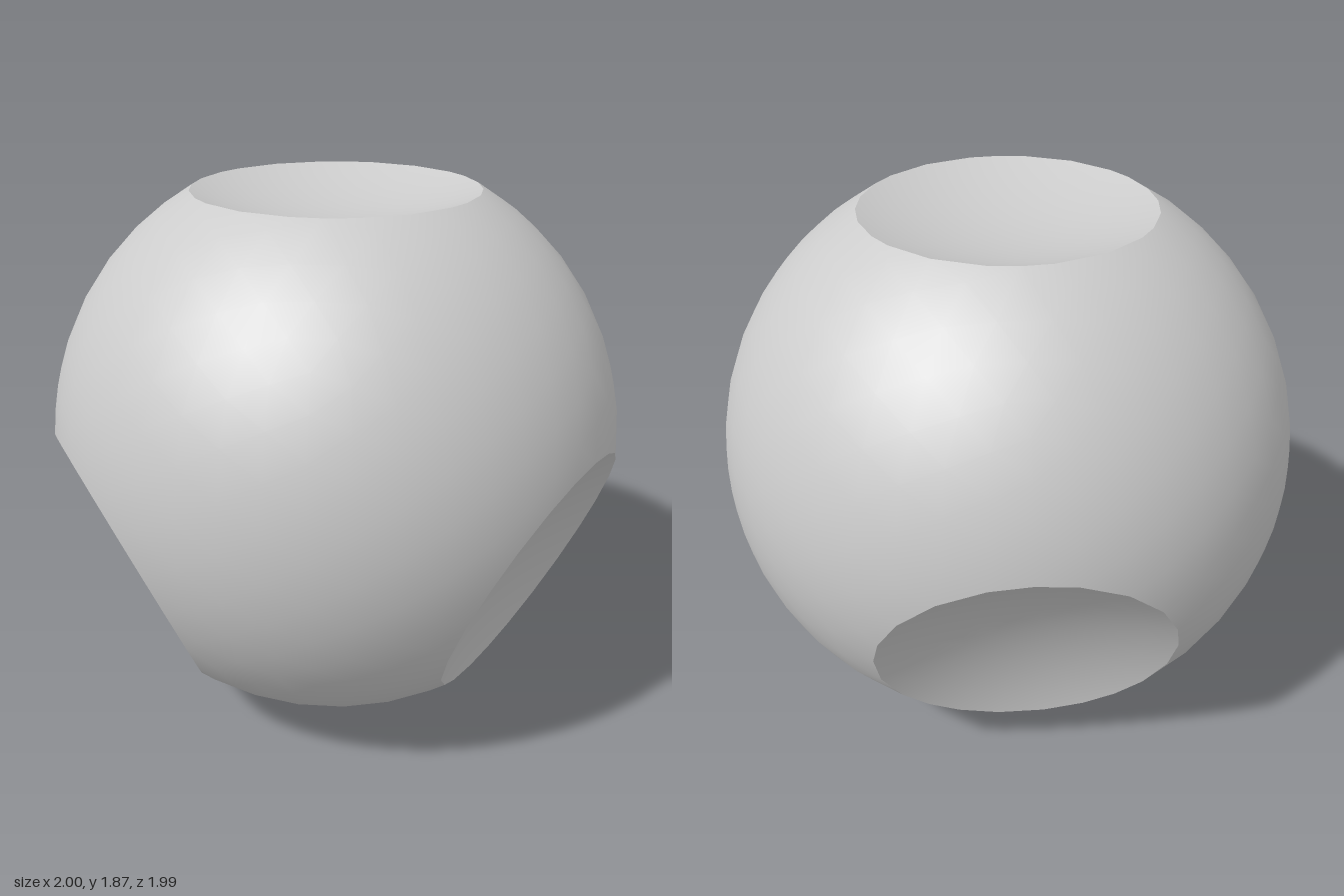
import * as THREE from 'three';

const RIM = 0.511;                       // angular radius of each dimple on the unit ball
const SNAP = RIM + 0.05;                 // ball vertices this close to an axis move to the rim
const SLOPE = 0.35;                      // slope of the hollow where it meets the rim
const HOLLOW = Math.sin(RIM) / Math.sin(SLOPE);  // radius of the hollow's curvature
const RINGS = 5;

// Dimple axes: one on top, three spread evenly around the lower half
const axes = [new THREE.Vector3(0, 1, 0)];
const drop = THREE.MathUtils.degToRad(22.7);
for (let i = 0; i < 3; i++) {
  const turn = Math.PI + (i * Math.PI * 2) / 3;
  axes.push(new THREE.Vector3(
    Math.sin(turn) * Math.cos(drop), -Math.sin(drop), Math.cos(turn) * Math.cos(drop)));
}

// Unit direction away from the axis, towards p
const sideways = (p, axis) => p.clone().addScaledVector(axis, -p.dot(axis)).normalize();

// Point on the hollow at angle t from its deepest point, with its normal
function hollowPoint(side, axis, t) {
  const height = Math.cos(RIM) + HOLLOW * (Math.cos(SLOPE) - Math.cos(t));
  return {
    p: axis.clone().multiplyScalar(height).addScaledVector(side, HOLLOW * Math.sin(t)),
    n: axis.clone().multiplyScalar(Math.cos(t)).addScaledVector(side, -Math.sin(t)),
  };
}

function buildMesh(name, corners) {
  const geometry = new THREE.BufferGeometry();
  const flat = (key) => new THREE.Float32BufferAttribute(
    corners.flatMap((c) => c[key].toArray()), 3);
  geometry.setAttribute('position', flat('p'));
  geometry.setAttribute('normal', flat('n'));
  const mesh = new THREE.Mesh(geometry, new THREE.MeshStandardMaterial({ color: 0xcccccc }));
  mesh.name = name;
  mesh.position.y = 1;
  return mesh;
}

export function createModel() {
  const group = new THREE.Group();
  group.name = 'dimpledBall';
  const shell = [];
  const hollows = axes.map(() => []);

  const pos = new THREE.IcosahedronGeometry(1, 7).attributes.position;
  for (let i = 0; i < pos.count; i += 3) {
    const tri = [0, 1, 2].map((k) => {
      const p = new THREE.Vector3().fromBufferAttribute(pos, i + k).normalize();
      const hole = axes.findIndex((axis) => p.angleTo(axis) < SNAP);
      if (hole >= 0) {
        const side = sideways(p, axes[hole]);
        p.copy(axes[hole]).multiplyScalar(Math.cos(RIM)).addScaledVector(side, Math.sin(RIM));
      }
      return { p, n: p, hole };
    });
    // Leave the holes open
    if (tri.every((c) => c.hole >= 0)) continue;
    shell.push(...tri);

    // Run a strip of the hollow inwards from each rim edge
    for (let k = 0; k < 3; k++) {
      const a = tri[k], b = tri[(k + 1) % 3];
      if (a.hole < 0 || a.hole !== b.hole) continue;
      const axis = axes[a.hole];
      const sa = sideways(a.p, axis), sb = sideways(b.p, axis);
      for (let r = RINGS; r > 0; r--) {
        const outer = (SLOPE * r) / RINGS, inner = (SLOPE * (r - 1)) / RINGS;
        const a0 = hollowPoint(sa, axis, outer), a1 = hollowPoint(sa, axis, inner);
        const b0 = hollowPoint(sb, axis, outer), b1 = hollowPoint(sb, axis, inner);
        hollows[a.hole].push(b0, a0, a1);
        if (r > 1) hollows[a.hole].push(b0, a1, b1);
      }
    }
  }

  group.add(buildMesh('ball', shell));
  const names = ['topDimple', 'backDimple', 'leftDimple', 'rightDimple'];
  hollows.forEach((corners, i) => group.add(buildMesh(names[i], corners)));
  return group;
}
